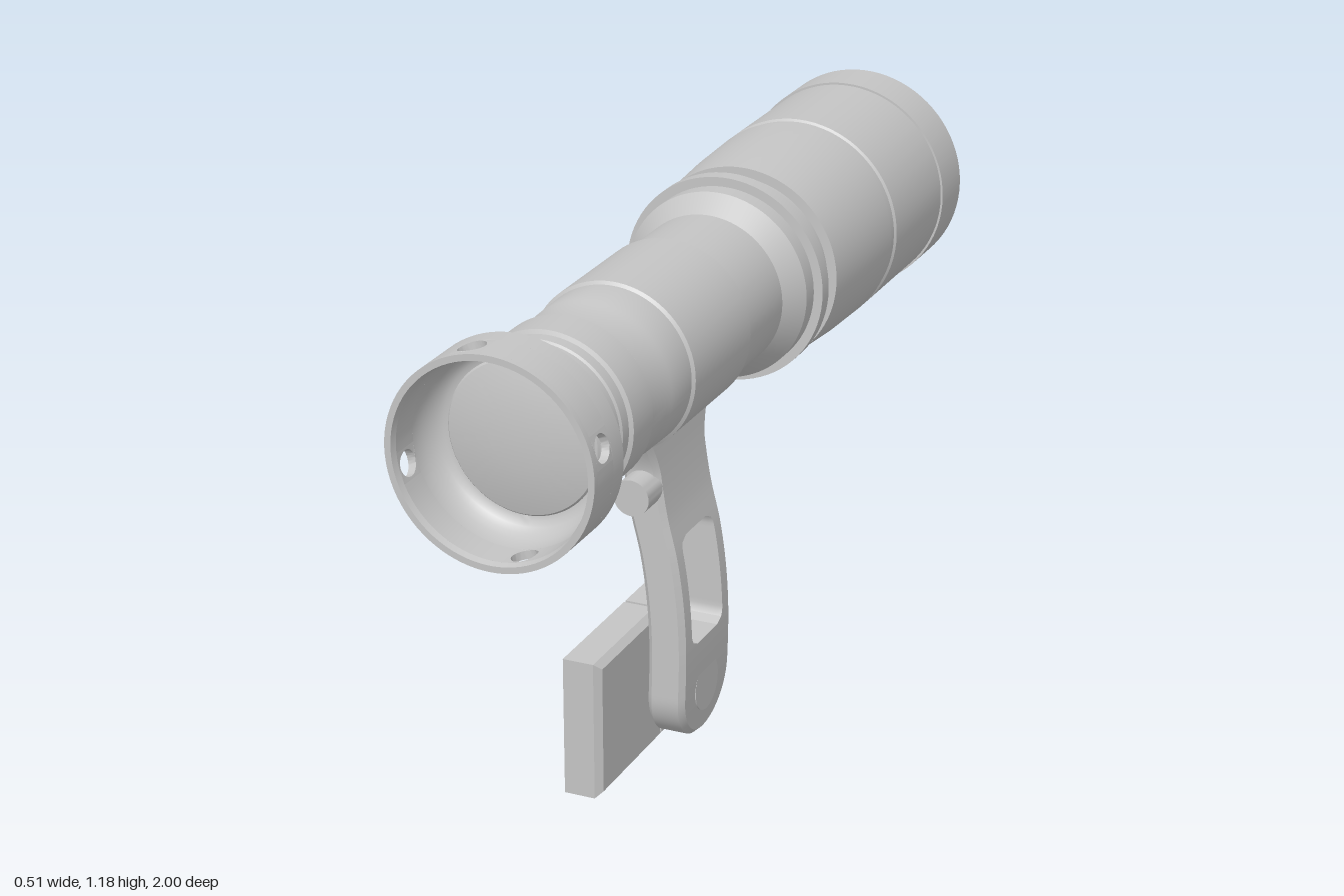
import * as THREE from 'three';
import { toCreasedNormals } from 'three/addons/utils/BufferGeometryUtils.js';

const AXIS_Y = 0.929;
const grey = new THREE.MeshStandardMaterial({ color: 0xc4c4c4 });
grey.name = 'light grey metal';

function add(group, name, geometry, crease = 0.45) {
  const mesh = new THREE.Mesh(toCreasedNormals(geometry, crease), grey);
  mesh.name = name;
  group.add(mesh);
  return mesh;
}

// Turned part along z, from [radius, z] pairs
function turned(pairs, phiStart = 0, phiLength = Math.PI * 2, segments = 80) {
  const pts = pairs.map(([r, z]) => new THREE.Vector2(r, z));
  return new THREE.LatheGeometry(pts, segments, phiStart, phiLength)
    .rotateX(Math.PI / 2).translate(0, AXIS_Y, 0);
}

// Rewrite every vertex by a rule
function warp(geometry, rule) {
  const p = geometry.attributes.position;
  for (let i = 0; i < p.count; i++) p.setXYZ(i, ...rule(p.getX(i), p.getY(i), p.getZ(i)));
  geometry.computeVertexNormals();
  return geometry;
}

// Tail cap wall with four cross holes
function tailCapWall() {
  const wall = new THREE.Group();
  wall.name = 'tailCapWall';
  const outer = 0.23, inner = 0.212, z0 = 0.915, z1 = 0.985, half = 0.036;
  add(wall, 'tailCapLip', turned([[outer, z1], [outer, 1], [0.216, 1], [inner, z1]]));
  for (let k = 0; k < 4; k++) {
    const angle = 0.24 + k * Math.PI / 2;
    const h = half / outer;
    add(wall, 'tailCapSector', turned([[outer, z0], [outer, z1], [inner, z1], [inner, z0]],
      angle + Math.PI / 2 + h, Math.PI / 2 - 2 * h, 16));
    const hh = (z1 - z0) / 2;
    const square = new THREE.Shape([[-half, -hh], [-half / 2, -hh], [0, -hh], [half / 2, -hh], [half, -hh],
      [half, hh], [half / 2, hh], [0, hh], [-half / 2, hh], [-half, hh]].map(([x, y]) => new THREE.Vector2(x, y)));
    square.holes.push(new THREE.Path().absarc(0, 0, 0.03, 0, Math.PI * 2, true));
    const patch = new THREE.ExtrudeGeometry(square, { depth: outer - inner, bevelEnabled: false, curveSegments: 24 });
    add(wall, 'tailCapHole', warp(patch, (s, z, d) => {
      const t = angle + s / outer, r = inner + d;
      return [r * Math.cos(t), AXIS_Y + r * Math.sin(t), 0.95 + z];
    }));
  }
  return wall;
}

// Curved arm: centre line in x, by height
const armLine = [[0.03, 0.102], [0.1, 0.108], [0.2, 0.113], [0.3, 0.114], [0.4, 0.108], [0.5, 0.094], [0.6, 0.071], [0.7, 0.056], [0.82, 0.045]];
const armCurve = new THREE.CatmullRomCurve3(armLine.map(([y, x]) => new THREE.Vector3(x, y, 0)));
const armPoints = armCurve.getPoints(160);
function armX(y) {
  const i = armPoints.findIndex(p => p.y >= y);
  const a = armPoints[i - 1], b = armPoints[i];
  return a.x + (b.x - a.x) * (y - a.y) / (b.y - a.y);
}

const ARM_Z = 0.2945, SLOT_LOW = 0.28, SLOT_HIGH = 0.535, FOOT_Y = 0.17, FOOT_R = 0.126;
const BEVEL = 0.012, THICK = 0.087;

// Half widths of the arm and of its slot; inset narrows the bevelled faces
function armHalf(y, inset) {
  const r = FOOT_R - inset;
  if (y < FOOT_Y) return Math.sqrt(Math.max(0, r * r - (FOOT_Y - y) ** 2));
  return r + 0.033 * Math.min(1, Math.max(0, (y - 0.69) / 0.085)) ** 1.6;
}
function slotHalf(y) {
  const r = 0.03, d = Math.max(0, r - Math.min(y - SLOT_LOW, SLOT_HIGH - y));
  return 0.082 - r + Math.sqrt(Math.max(0, r * r - d * d));
}
const backEdge = (y, inset) => -armHalf(y, inset);

// Arm section between two heights; the foot eases its rows into the round end
function armPiece(y0, y1, zLow, zHigh, isFoot = false) {
  return warp(new THREE.BoxGeometry(3, 1, 1, 3, 26, 1), (u, v, w) => {
    const inset = Math.abs(u) > 1 ? BEVEL : 0;
    const start = isFoot ? y0 + inset : y0;
    const y = start + (y1 - start) * (v + 0.5) ** (isFoot ? 1.8 : 1);
    const a = zLow(y, inset), b = zHigh(y, inset);
    const x = Math.sign(u) * (THICK / 2 - BEVEL + inset);
    return [armX(y) + x, y, ARM_Z + a + (b - a) * (w + 0.5)];
  });
}

// Mount block whose +x edges are chamfered
function chamferedBlock(z0, z1, frontInset) {
  return warp(new THREE.BoxGeometry(2, 1, 1, 2, 1, 1), (x, y, z) => {
    const c = x > 0.5 ? 0.014 : 0;
    return [x < -0.5 ? -0.041 : x > 0.5 ? 0.045 : 0.03,
      y > 0 ? 0.32 - c : c,
      z > 0 ? z1 - c * frontInset : z0];
  });
}

export function createModel() {
  const model = new THREE.Group();
  model.name = 'mountedLight';

  // Light body: lens recess, head, collar, tube, tail and button
  add(model, 'lightBody', turned([
    [0, -0.73], [0.156, -0.875], [0.163, -0.875], [0.166, -0.895], [0.178, -0.905], [0.238, -1],
    [0.253, -1], [0.253, -0.88], [0.248, -0.88], [0.248, -0.585], [0.243, -0.58], [0.243, -0.555],
    [0.248, -0.55], [0.244, -0.4], [0.234, -0.245], [0.212, -0.245], [0.212, -0.188], [0.238, -0.188],
    [0.238, -0.152], [0.217, -0.152], [0.217, -0.11], [0.18, -0.06], [0.18, 0.14], [0.19, 0.14],
    [0.19, 0.43], [0.183, 0.435], [0.181, 0.53], [0.177, 0.54], [0.177, 0.62], [0.168, 0.622],
    [0.168, 0.632], [0.187, 0.636], [0.187, 0.728], [0.178, 0.732], [0.178, 0.76], [0.174, 0.765],
    [0.174, 0.795], [0.184, 0.8], [0.184, 0.81], [0.23, 0.868], [0.23, 0.915], [0.212, 0.915],
    [0.211, 0.9], [0.207, 0.884], [0.2, 0.868], [0.19, 0.855], [0.179, 0.847], [0.169, 0.845],
    [0.165, 0.85], [0.12, 0.862], [0.06, 0.87], [0, 0.872]]));
  model.add(tailCapWall());

  // Bevelled arm with an open slot and a rounded foot
  const arm = new THREE.Group();
  arm.name = 'arm';
  model.add(arm);
  add(arm, 'armFoot', armPiece(FOOT_Y - FOOT_R, SLOT_LOW, backEdge, armHalf, true));
  add(arm, 'armRailBack', armPiece(SLOT_LOW, SLOT_HIGH, backEdge, y => -slotHalf(y)));
  add(arm, 'armRailFront', armPiece(SLOT_LOW, SLOT_HIGH, slotHalf, armHalf));
  add(arm, 'armNeck', armPiece(SLOT_HIGH, 0.79, backEdge, armHalf));

  // Clamp screw at the neck, pivot pin and its cap at the foot
  const screw = new THREE.CylinderGeometry(0.041, 0.041, 0.1, 32).rotateX(Math.PI / 2);
  add(model, 'clampScrew', screw.translate(0.063, 0.66, 0.43));
  const pin = new THREE.CylinderGeometry(0.025, 0.025, 0.07, 32).rotateZ(Math.PI / 2);
  add(model, 'pivotPin', pin.translate(0.065, 0.165, ARM_Z));
  const cap = new THREE.CylinderGeometry(0.06, 0.06, 0.006, 40).rotateZ(Math.PI / 2);
  add(model, 'pivotCap', cap.translate(armX(0.16) + 0.042, 0.16, ARM_Z));

  // Two mount blocks with a narrow gap between them
  add(model, 'frontMountBlock', chamferedBlock(0.298, 0.605, 1), 0.2);
  add(model, 'backMountBlock', chamferedBlock(0.18, 0.29, 0), 0.2);

  // Back end of the mount with two screw sockets
  const end = new THREE.Shape([[-0.041, 0], [0.03, 0], [0.045, 0.014], [0.045, 0.306], [0.03, 0.32], [-0.041, 0.32]]
    .map(([x, y]) => new THREE.Vector2(x, y)));
  for (const y of [0.05, 0.27]) end.holes.push(new THREE.Path().absarc(0, y, 0.031, 0, Math.PI * 2, true));
  const endPlate = new THREE.ExtrudeGeometry(end, { depth: 0.045, bevelEnabled: false, curveSegments: 20 });
  add(model, 'backMountEnd', endPlate.translate(0, 0, 0.135));

  return model;
}
